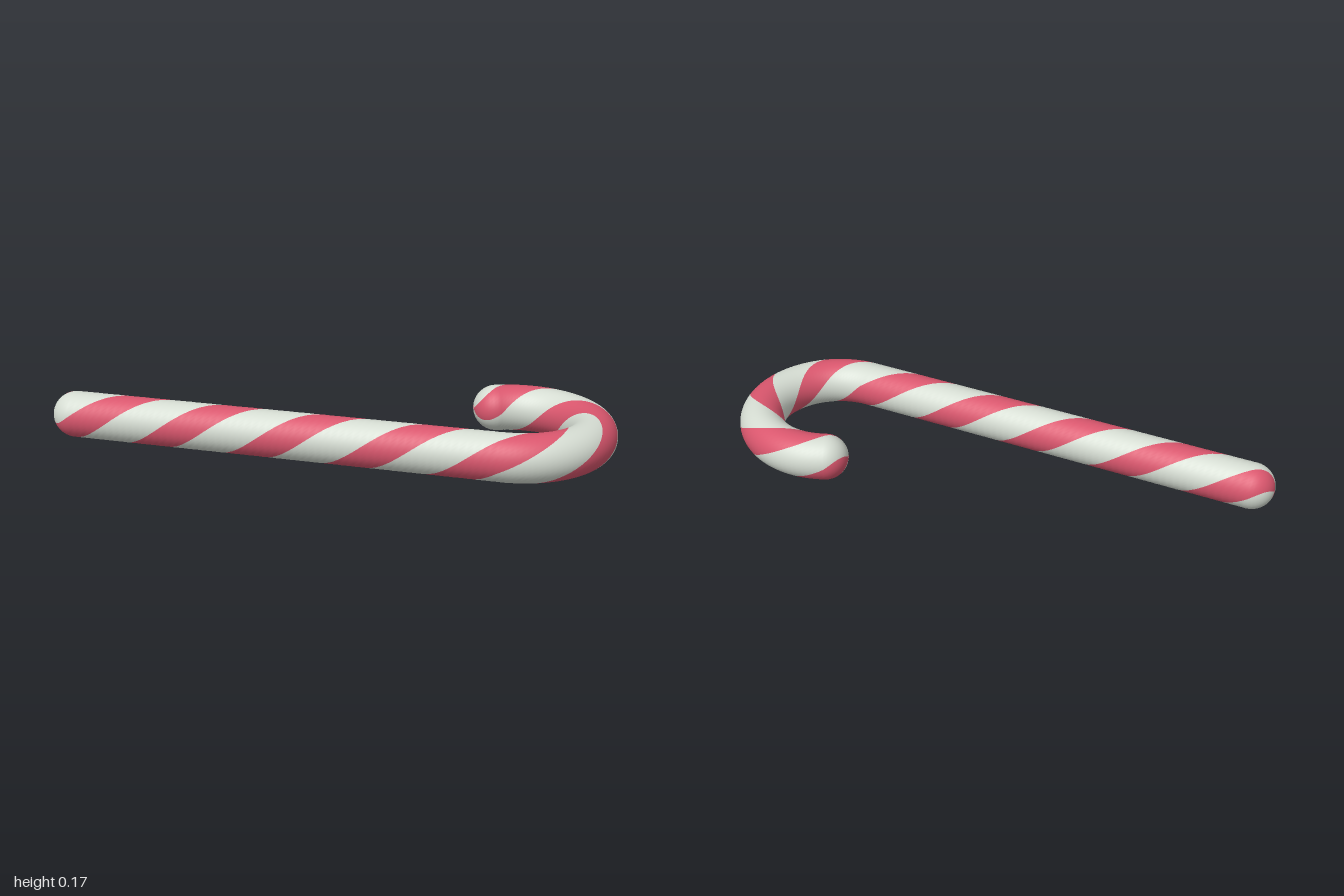
import * as THREE from 'three';

const TUBE = 0.084;              // tube radius
const BEND = 0.271;              // hook centreline radius
const START = -0.916;            // shaft start along x
const HOOK_X = 0.645;            // x where the hook begins
const HOOK_ANGLE = THREE.MathUtils.degToRad(205);
const END = HOOK_X + BEND * HOOK_ANGLE;
const PITCH = 0.728;             // length of one full twist
const PHASE = -0.485;            // a stripe faces the front here
const SIDES = 40;                // columns around, following the twist

const red = new THREE.MeshStandardMaterial({ name: 'candyRed', color: 0xd9566d });
const white = new THREE.MeshStandardMaterial({ name: 'candyWhite', color: 0xd5dcd2 });

// Centreline point, tangent and outward direction at length s
function frame(s) {
  const t = THREE.MathUtils.clamp((s - HOOK_X) / BEND, 0, HOOK_ANGLE);
  const out = new THREE.Vector3(Math.sin(t), 0, Math.cos(t));
  const tangent = new THREE.Vector3(Math.cos(t), 0, -Math.sin(t));
  const point = new THREE.Vector3(HOOK_X, TUBE, 0).addScaledVector(out, BEND);
  const straight = s < HOOK_X ? s - HOOK_X : Math.max(0, s - END);
  return { point: point.addScaledVector(tangent, straight), tangent, out };
}

// Rows along the cane: round cap, shaft, hook, round cap
function makeRows() {
  const rows = [];
  const capSteps = 10;
  for (let i = 0; i < capSteps; i++) {
    const b = -Math.PI / 2 * (1 - i / capSteps);
    rows.push({ s: START + TUBE * Math.sin(b), b });
  }
  for (let i = 0; i < 60; i++) rows.push({ s: START + (HOOK_X - START) * i / 60, b: 0 });
  for (let i = 0; i < 64; i++) rows.push({ s: HOOK_X + (END - HOOK_X) * i / 64, b: 0 });
  for (let i = 0; i <= capSteps; i++) {
    const b = Math.PI / 2 * i / capSteps;
    rows.push({ s: END + TUBE * Math.sin(b), b });
  }
  return rows;
}

// One twisted band, a number of columns wide
function bandGeometry(firstColumn, columns) {
  const positions = [], normals = [], index = [];
  const rows = makeRows();
  const up = new THREE.Vector3(0, 1, 0);
  rows.forEach(({ s, b }, i) => {
    const { point, tangent, out } = frame(s);
    for (let j = 0; j <= columns; j++) {
      const a = 2 * Math.PI * ((firstColumn + j) / SIDES + (s - PHASE) / PITCH);
      const radial = out.clone().multiplyScalar(Math.cos(a)).addScaledVector(up, Math.sin(a));
      const p = point.clone().addScaledVector(radial, TUBE * Math.cos(b));
      const n = radial.multiplyScalar(Math.cos(b)).addScaledVector(tangent, Math.sin(b));
      positions.push(p.x, p.y, p.z);
      normals.push(n.x, n.y, n.z);
      if (i < rows.length - 1 && j < columns) {
        const k = i * (columns + 1) + j, m = k + columns + 1;
        index.push(k, m, m + 1, k, m + 1, k + 1);
      }
    }
  });
  const g = new THREE.BufferGeometry();
  g.setAttribute('position', new THREE.Float32BufferAttribute(positions, 3));
  g.setAttribute('normal', new THREE.Float32BufferAttribute(normals, 3));
  g.setIndex(index);
  return g;
}

export function createModel() {
  const cane = new THREE.Group();
  cane.name = 'candyCane';
  const redColumns = 9, whiteColumns = SIDES / 2 - redColumns;
  for (let k = 0; k < 2; k++) {
    const first = k * SIDES / 2 - redColumns / 2;
    const redStripe = new THREE.Mesh(bandGeometry(first, redColumns), red);
    redStripe.name = `redStripe${k + 1}`;
    const whiteStripe = new THREE.Mesh(bandGeometry(first + redColumns, whiteColumns), white);
    whiteStripe.name = `whiteStripe${k + 1}`;
    cane.add(redStripe, whiteStripe);
  }
  return cane;
}
